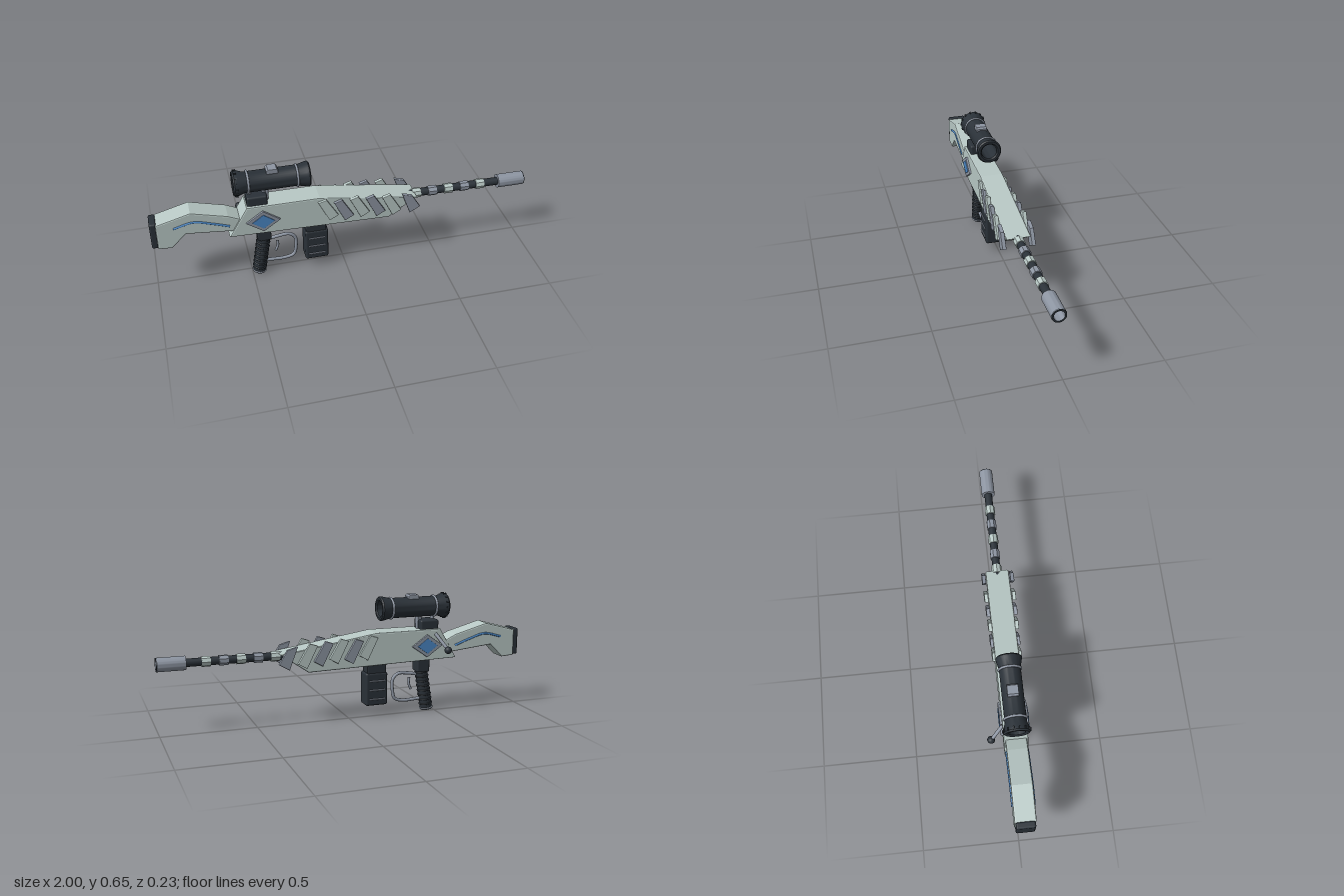
import * as THREE from 'three';
import { toCreasedNormals } from 'three/addons/utils/BufferGeometryUtils.js';
import { RoundedBoxGeometry } from 'three/addons/geometries/RoundedBoxGeometry.js';

export function createModel() {
  const material = (name, color) => {
    const m = new THREE.MeshStandardMaterial({ color });
    m.name = name;
    return m;
  };
  const pale = material('pale shell', 0xb9c9c6);
  const grey = material('cool grey metal', 0x8d95a2);
  const dark = material('dark metal', 0x2a3138);
  const blue = material('blue inlay', 0x4a86c4);

  const root = new THREE.Group();
  root.name = 'rifle';
  // All parts sit around a common centre plane.
  const body = new THREE.Group();
  body.name = 'body';
  body.position.z = 0.028;
  root.add(body);

  const add = (name, geometry, mat, x = 0, y = 0, z = 0) => {
    const mesh = new THREE.Mesh(geometry, mat);
    mesh.name = name;
    mesh.position.set(x, y, z);
    body.add(mesh);
    return mesh;
  };
  const v = (x, y, z = 0) => new THREE.Vector3(x, y, z);
  // Slab with a bevelled edge, centred on z = 0
  const slab = (points, width, bevel) => {
    const shape = new THREE.Shape(points.map(([x, y]) => new THREE.Vector2(x, y)));
    const g = new THREE.ExtrudeGeometry(shape, {
      depth: width - 2 * bevel, bevelEnabled: bevel > 0, bevelSegments: 2,
      bevelSize: bevel, bevelThickness: bevel, bevelOffset: -bevel,
    });
    return g.translate(0, 0, -width / 2 + bevel);
  };
  const tube = (points, r, steps = 32) =>
    new THREE.TubeGeometry(new THREE.CatmullRomCurve3(points), steps, r, 10);
  // Cylinder between two points
  const rod = (name, a, b, r, mat, r2 = r) => {
    const d = b.clone().sub(a);
    const mesh = add(name, new THREE.CylinderGeometry(r2, r, d.length(), 20), mat);
    mesh.position.copy(a).add(b).multiplyScalar(0.5);
    mesh.quaternion.setFromUnitVectors(v(0, 1), d.normalize());
    return mesh;
  };
  // Lathe along x from [x, radius] points
  const latheX = (points) => toCreasedNormals(
    new THREE.LatheGeometry(points.map(([x, r]) => new THREE.Vector2(r, x)), 36)
      .rotateZ(-Math.PI / 2), 0.6);

  // Receiver and stock
  add('receiver', slab([[-0.61, 0.3], [-0.515, 0.465], [-0.14, 0.465],
    [0.38, 0.385], [0.23, 0.28]], 0.124, 0.007), pale);
  add('stock', slab([[-0.97, 0.43], [-0.795, 0.478], [-0.61, 0.428], [-0.52, 0.385],
    [-0.58, 0.33], [-0.826, 0.355], [-0.9, 0.28], [-0.97, 0.285]], 0.108, 0.007), pale);
  add('buttPlate', new RoundedBoxGeometry(0.035, 0.148, 0.098, 3, 0.01), dark, -0.9825, 0.362);

  // Details on both sides
  for (const s of [1, -1]) {
    add('stockStripe', tube([v(-0.885, 0.398), v(-0.785, 0.421), v(-0.695, 0.398), v(-0.605, 0.366)]
      .map((p) => p.setZ(s * 0.054)), 0.006), blue);
    const diamond = (w, h) => [[-w, 0], [0, -h], [w, 0], [0, h]];
    add('diamondFrame', slab(diamond(0.088, 0.062), 0.014, 0.003), grey, -0.435, 0.377, s * 0.066);
    add('diamondInlay', slab(diamond(0.058, 0.042), 0.008, 0.002), blue, -0.435, 0.377, s * 0.072);
    // Slanted armour plates, alternating in colour
    const centres = [[-0.1, 0.386], [-0.018, 0.373], [0.066, 0.381],
      [0.15, 0.374], [0.236, 0.368], [0.338, 0.366]];
    centres.forEach(([x, y], i) => {
      const last = i === 5;
      const outline = last
        ? [[-0.045, 0.06], [0.055, -0.028], [0, -0.06]]
        : [[-0.05, 0.055], [-0.008, 0.069], [0.055, -0.035], [0.008, -0.062]];
      if (last) outline.splice(1, 0, [0.01, 0.045]);
      add('armourPlate', slab(outline.reverse(), 0.02, 0.003), i % 2 ? grey : pale,
        x, y, s * (last ? 0.075 : 0.065 + 0.002 * i));
    });
  }

  // Barrel, beads and muzzle
  const barrelY = 0.368;
  rod('barrel', v(0.27, barrelY), v(0.87, barrelY), 0.021, dark);
  for (let i = 0; i < 6; i++) {
    const bead = new THREE.CylinderGeometry(0.027, 0.027, 0.046, 8).rotateZ(Math.PI / 2);
    const mesh = add('barrelBead', toCreasedNormals(bead, 0.4), i % 2 ? pale : grey,
      0.305 + i * 0.0893, barrelY);
    mesh.rotation.x = Math.PI / 8 + i * 0.4;
  }
  add('muzzle', latheX([[0.853, 0.015], [0.853, 0.036], [0.998, 0.036]]), grey, 0, barrelY);
  add('muzzleRim', latheX([[0.994, 0.0365], [1, 0.035], [1, 0.026]]), dark, 0, barrelY);
  add('muzzleBore', latheX([[1, 0.026], [0.93, 0.025]]), grey, 0, barrelY);
  add('muzzleBottom', latheX([[0.93, 0.025], [0.93, 0]]), dark, 0, barrelY);

  // Hollow scope
  const scopeY = 0.583;
  add('scopeTube', latheX([[-0.566, 0.041], [-0.57, 0.048], [-0.57, 0.06], [-0.562, 0.066],
    [-0.55, 0.066], [-0.515, 0.054], [-0.24, 0.054], [-0.2, 0.064], [-0.187, 0.066],
    [-0.18, 0.06], [-0.18, 0.048], [-0.186, 0.041], [-0.566, 0.041]]), dark, 0, scopeY);
  for (const x of [-0.495, -0.245]) {
    add('scopeRing', new THREE.TorusGeometry(0.055, 0.006, 10, 36).rotateY(Math.PI / 2), grey, x, scopeY);
  }
  for (let i = 0; i < 14; i++) {
    const a = (i / 14) * Math.PI * 2 + 0.2;
    const stud = add('scopeStud', new THREE.BoxGeometry(0.016, 0.007, 0.007), dark,
      -0.555, scopeY + Math.cos(a) * 0.067, Math.sin(a) * 0.067);
    stud.rotation.x = a;
  }
  add('scopeTurret', slab([[-0.03, -0.01], [0.03, -0.01], [0.03, 0.008], [0.022, 0.018],
    [-0.022, 0.018], [-0.03, 0.008]], 0.056, 0.003), grey, -0.37, 0.635);
  add('scopeMount', new RoundedBoxGeometry(0.105, 0.062, 0.097, 3, 0.01), dark, -0.457, 0.483);
  for (const x of [-0.49, -0.415]) {
    rod('scopePost', v(x, 0.46), v(x, 0.54), 0.009, grey, 0.012);
  }
  rod('scopeBrace', v(-0.402, 0.46), v(-0.402, 0.535), 0.009, grey, 0.011);

  // Ribbed grip
  add('gripBase', new RoundedBoxGeometry(0.072, 0.08, 0.074, 3, 0.008), dark, -0.43, 0.265);
  const gripTop = v(-0.428, 0.245), gripEnd = v(-0.465, 0.009);
  rod('grip', gripEnd, gripTop, 0.034, dark);
  const gripDir = gripTop.clone().sub(gripEnd).normalize();
  for (let i = 0; i < 9; i++) {
    const rib = add('gripRib', new THREE.TorusGeometry(0.033, 0.005, 8, 28), i ? dark : grey);
    rib.position.lerpVectors(gripEnd, gripTop, 0.03 + i * 0.11);
    rib.quaternion.setFromUnitVectors(v(0, 0, 1), gripDir);
  }

  // Trigger and guard
  add('triggerGuard', tube([v(-0.41, 0.208), v(-0.35, 0.219), v(-0.295, 0.221), v(-0.264, 0.193),
    v(-0.262, 0.13), v(-0.275, 0.083), v(-0.32, 0.068), v(-0.44, 0.072)], 0.009, 48), grey);
  add('trigger', tube([v(-0.36, 0.195), v(-0.358, 0.16), v(-0.37, 0.127)], 0.007, 12), grey);

  // Magazine
  add('magazineNeck', new RoundedBoxGeometry(0.108, 0.09, 0.078, 3, 0.006), dark, -0.157, 0.265);
  add('magazine', new RoundedBoxGeometry(0.124, 0.18, 0.088, 4, 0.011), dark, -0.155, 0.154);
  for (const y of [0.1, 0.15, 0.2]) {
    for (const s of [1, -1]) {
      rod('magazineBar', v(-0.2, y, s * 0.046), v(-0.112, y, s * 0.046), 0.004, grey);
    }
  }

  // Bolt handle on the right side
  rod('boltHandle', v(-0.485, 0.44, -0.06), v(-0.53, 0.365, -0.117), 0.009, grey);
  add('boltKnob', new THREE.SphereGeometry(0.02, 24, 16), dark, -0.533, 0.357, -0.123);

  return root;
}
